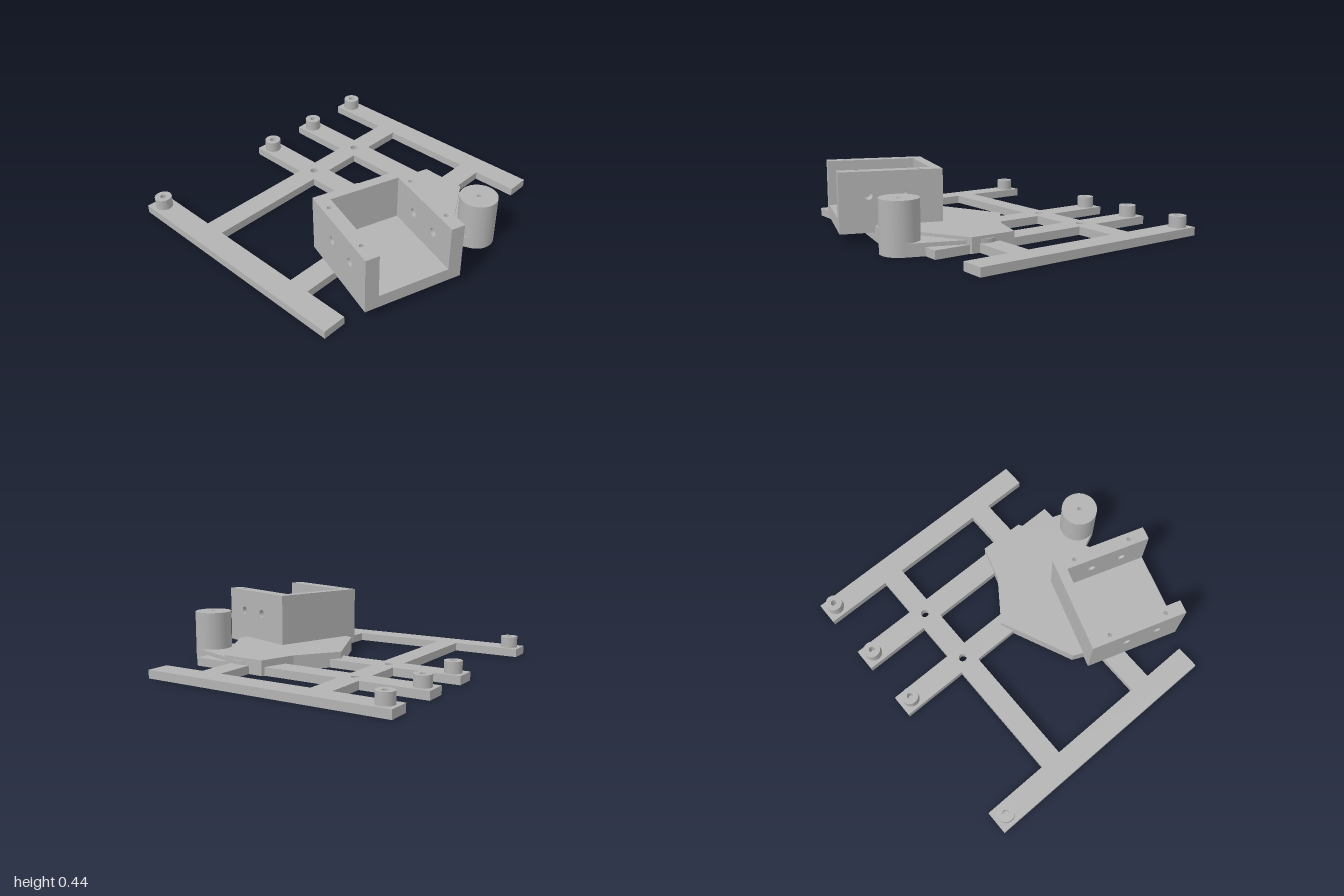
import * as THREE from 'three';
import { toCreasedNormals } from 'three/addons/utils/BufferGeometryUtils.js';

const grey = new THREE.MeshStandardMaterial({ color: 0xb3b3b3 });
grey.name = 'plain grey';

const polygon = (points) => new THREE.Shape(points.map(([x, y]) => new THREE.Vector2(x, y)));
const rect = (x0, y0, x1, y1) => polygon([[x0, y0], [x1, y0], [x1, y1], [x0, y1]]);
const disc = (x, y, r) => new THREE.Shape().absarc(x, y, r, 0, Math.PI * 2, false);

// cut round holes, each given as [x, y, radius]
function drill(shape, holes) {
  for (const [x, y, r] of holes) shape.holes.push(new THREE.Path().absarc(x, y, r, 0, Math.PI * 2, true));
  return shape;
}

function extrude(shape, depth) {
  return new THREE.ExtrudeGeometry(shape, { depth, bevelEnabled: false, curveSegments: 40 });
}

function add(parent, name, geometry) {
  const mesh = new THREE.Mesh(toCreasedNormals(geometry, 0.2), grey);
  mesh.name = name;
  parent.add(mesh);
  return mesh;
}

// horizontal plate: shape drawn in x and z, filling heights y0 to y1
function slab(parent, name, shape, y0, y1) {
  return add(parent, name, extrude(shape, y1 - y0).rotateX(Math.PI / 2).translate(0, y1, 0));
}

export function createModel() {
  const model = new THREE.Group();
  model.name = 'mountingFrame';
  const T = 0.055;

  // flat frame: four rails joined by two crossbars, as one outline with windows
  const rails = [[-1, -0.845], [-0.56, -0.405], [-0.14, 0.012], [0.843, 1]];
  const rightSide = [], leftSide = [];
  for (const [a, b] of rails) {
    rightSide.push([0.41, a], [0.71, a], [0.71, b], [0.41, b]);
    leftSide.push([-0.53, a], [-0.98, a], [-0.98, b], [-0.53, b]);
  }
  const frame = polygon([...rightSide.slice(1, -1), ...leftSide.slice(1, -1).reverse()]);
  for (let i = 0; i < 3; i++) frame.holes.push(rect(-0.385, rails[i][1], 0.265, rails[i + 1][0]));
  const pivotHoles = [[0.335, -0.483, 0.025], [0.335, -0.064, 0.025]];
  drill(frame, [[-0.46, -0.483, 0.026], [-0.46, -0.064, 0.026], ...pivotHoles]);
  slab(model, 'frame', frame, 0, T);

  // hollow standoffs on the left end of every rail
  for (const z of [-0.923, -0.483, -0.064, 0.92])
    slab(model, 'standoff', drill(disc(-0.9, z, 0.056), [[-0.9, z, 0.02]]), T, 0.13);

  // faceted base plate, drilled from underneath only
  const plate = () => polygon([[-0.11, -0.075], [0.085, -0.345], [0.16, -0.58], [0.465, -0.57],
    [0.785, -0.025], [0.71, 0.326], [0.39, 0.55], [0.11, 0.42]]);
  slab(model, 'basePlateLower', drill(plate(), pivotHoles), 0, T);
  slab(model, 'basePlateUpper', plate(), T, 0.1);
  slab(model, 'pivotBoss', disc(0.345, -0.475, 0.112), T, 0.08);

  // motor arm and upright motor
  const arm = new THREE.Shape();
  arm.moveTo(0.47, -0.545);
  arm.lineTo(0.83, -0.416);
  arm.absarc(0.79, -0.3, 0.122, -1.24, 1.15, false);
  arm.lineTo(0.72, -0.135);
  arm.lineTo(0.5, -0.2);
  slab(model, 'motorArm', arm, 0, 0.08);
  slab(model, 'motorBase', disc(0.79, -0.3, 0.122), 0, 0.08);
  slab(model, 'motor', drill(disc(0.79, -0.3, 0.122), [[0.79, -0.3, 0.014]]), 0.08, 0.33);

  // open-ended box, turned on the plate
  const S = 0.655, W = 0.09, E = 0.066, FLOOR = 0.14, CAP = 0.36, TOP = 0.44;
  const box = new THREE.Group();
  box.name = 'box';
  box.position.set(0.355, 0, -0.09);
  box.rotation.y = -Math.atan2(0.205, 0.62);
  model.add(box);
  slab(box, 'boxFloor', rect(0, 0, S, S), T, FLOOR);
  slab(box, 'boxEndWall', rect(0, W, E, S - W), FLOOR, CAP);

  // side walls with cross holes
  for (const z of [0, S - W]) {
    const wall = drill(rect(0, FLOOR, S, CAP), [[0.253, 0.29, 0.027], [0.472, 0.29, 0.027]]);
    add(box, 'boxSideWall', extrude(wall, W).translate(0, 0, z));
  }

  // wall tops in a C shape with screw holes
  const rim = polygon([[0, 0], [S, 0], [S, W], [E, W], [E, S - W], [S, S - W], [S, S], [0, S]]);
  const screws = [];
  for (const x of [0.137, 0.53]) for (const z of [W / 2, S - W / 2]) screws.push([x, z, 0.014]);
  slab(box, 'boxRim', drill(rim, screws), CAP, TOP);

  return model;
}
